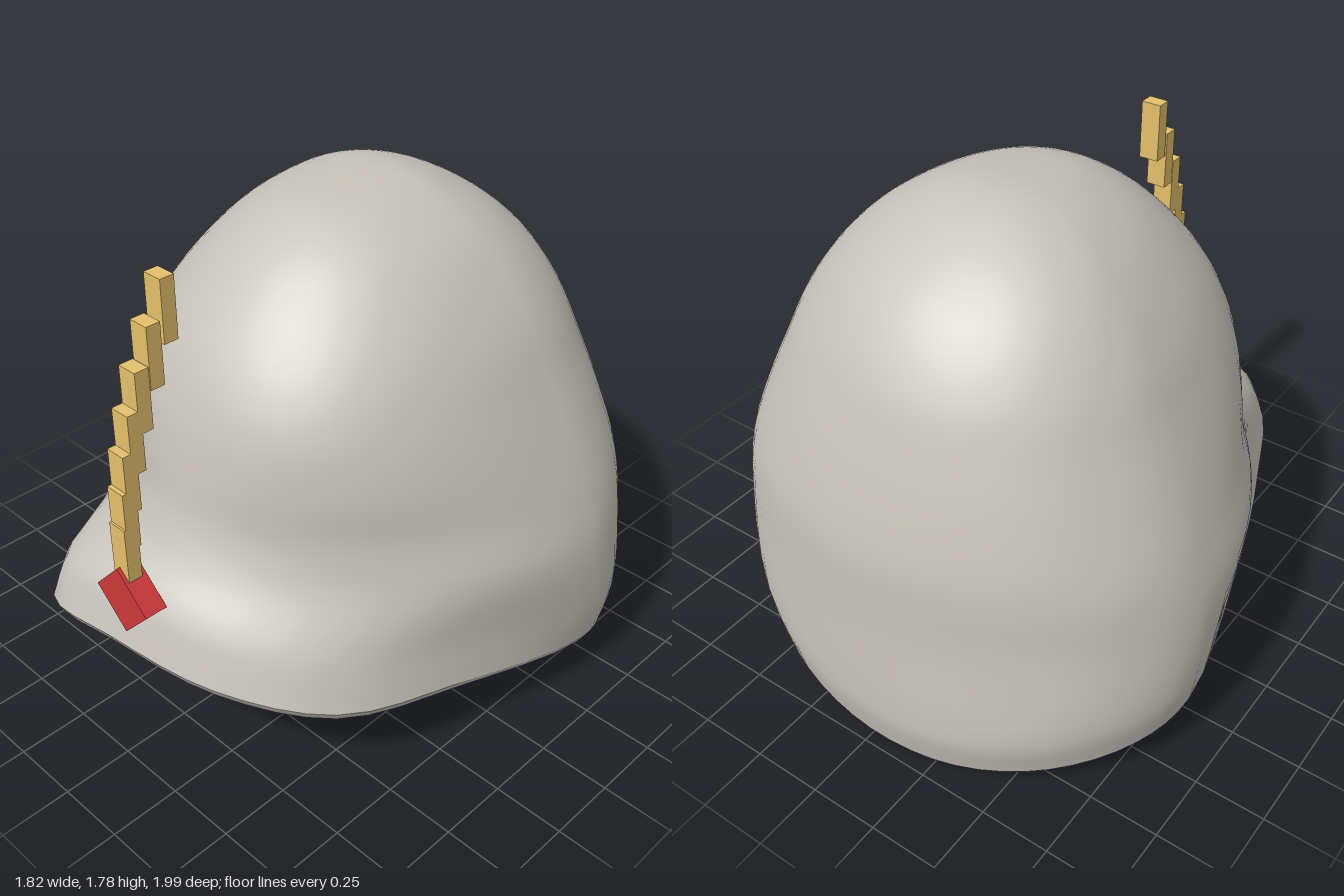
import * as THREE from 'three';
import { mergeVertices } from 'three/addons/utils/BufferGeometryUtils.js';

const SEG = 64;

// Lower edge as [x, y, z], from the front centre round by the model's left
const RIM = [
  [-0.06, 0.435, 0.975], [0.34, 0.395, 0.88], [0.64, 0.33, 0.64], [0.79, 0.26, 0.2],
  [0.905, 0.165, -0.37], [0.84, 0.125, -0.58], [0.64, 0.075, -0.79], [0.35, 0.03, -0.94],
  [0, 0, -1], [-0.35, 0.025, -0.97], [-0.64, 0.07, -0.83], [-0.84, 0.12, -0.6],
  [-0.905, 0.165, -0.37], [-0.78, 0.25, 0.14], [-0.605, 0.335, 0.61], [-0.41, 0.39, 0.955],
];

// Dome sections: [y at front, y at back, half width, front reach, back reach, fullness of the front corners]
const DOME = [
  [0.74, 0.56, 0.9, 0.8, 0.975, -0.05],
  [0.86, 0.8, 0.85, 0.735, 0.965, -0.03],
  [1.02, 1.02, 0.775, 0.7, 0.915, 0.015],
  [1.2, 1.2, 0.695, 0.655, 0.86, 0.04],
  [1.37, 1.37, 0.615, 0.57, 0.79, 0.04],
  [1.53, 1.53, 0.505, 0.44, 0.68, 0.03],
  [1.65, 1.65, 0.385, 0.3, 0.54, 0.02],
  [1.73, 1.74, 0.24, 0.15, 0.38, 0],
  [1.765, 1.775, 0.12, -0.04, 0.26, 0],
];

const rimCurve = new THREE.CatmullRomCurve3(RIM.map((p) => new THREE.Vector3(...p)), true);

// Point on the tilted brim: lift above the edge, scaled at front and back
function brimPoint(u, lift, front, back) {
  const p = rimCurve.getPoint(u);
  const s = THREE.MathUtils.lerp(back, front, THREE.MathUtils.smoothstep(p.z, -0.4, 0.8));
  return new THREE.Vector3(p.x * s, p.y + lift, p.z * s);
}

// Egg-shaped section point, widest towards the back
function domePoint(u, [yf, yb, w, f, b, full]) {
  const a = u * Math.PI * 2, c = Math.cos(a);
  const corner = c > 0 ? 1 + full * Math.sin(2 * a) ** 2 : 1;
  const zc = (f - b) / 2 - 0.25 * w;
  const z = zc + c * corner * (c > 0 ? f - zc : b + zc);
  return new THREE.Vector3(w * Math.sin(a) * corner, THREE.MathUtils.lerp(yb, yf, (z + b) / (f + b)), z);
}

// Smooth upright line from the edge to the crown
function outerColumn(u) {
  const points = [
    brimPoint(u, 0.03, 1, 0.97), brimPoint(u, 0.19, 0.935, 1),
    ...DOME.map((d) => domePoint(u, d)), new THREE.Vector3(0, 1.78, -0.17),
  ];
  return new THREE.CatmullRomCurve3(points).getPoints(44);
}

// Surface through closed rows of upright lines
function skin(columns, flip) {
  const rows = columns[0].length, index = [];
  for (let i = 0; i < columns.length; i++) {
    const j = (i + 1) % columns.length;
    for (let r = 0; r < rows - 1; r++) {
      const a = i * rows + r, b = j * rows + r;
      if (flip) index.push(a, a + 1, b, b, a + 1, b + 1);
      else index.push(a, b, a + 1, b, b + 1, a + 1);
    }
  }
  const g = new THREE.BufferGeometry().setFromPoints(columns.flat());
  g.setIndex(index);
  const merged = mergeVertices(g, 1e-5);
  merged.computeVertexNormals();
  return merged;
}

export function createModel() {
  const group = new THREE.Group();
  const mat = (name, color) => Object.assign(new THREE.MeshStandardMaterial({ color }), { name });
  const shellGrey = mat('shellGrey', 0xc6c2ba);
  const gold = mat('gold', 0xe4c06c);
  const red = mat('red', 0xcc383a);
  const add = (name, geometry, material) => {
    const mesh = new THREE.Mesh(geometry, material);
    mesh.name = name;
    group.add(mesh);
    return mesh;
  };

  // Helmet shell: outside, lining and the bevelled edge between them
  const outer = Array.from({ length: SEG }, (_, i) => outerColumn(i / SEG));
  const inner = outer.map((col) => col.map((p) =>
    new THREE.Vector3(p.x * 0.977, p.y - 0.02, (p.z + 0.12) * 0.977 - 0.12)));
  const edge = outer.map((col, i) => [
    inner[i][0], brimPoint(i / SEG, 0, 0.985, 0.95), col[0],
  ]);
  add('helmetShell', skin(outer, false), shellGrey);
  add('helmetLining', skin(inner, true), shellGrey);
  add('helmetEdge', skin(edge, false), shellGrey);

  // Stepped crest curving back from the badge
  const crest = new THREE.Group();
  crest.name = 'crest';
  [0.708, 0.77, 0.825, 0.865, 0.895, 0.91, 0.917].forEach((z, i) => {
    const block = new THREE.Mesh(new THREE.BoxGeometry(0.073, 0.212, 0.052), gold);
    block.name = 'crestBlock';
    block.position.set(-0.005, 1.595 - 0.13 * i, z);
    crest.add(block);
  });
  group.add(crest);

  // Diamond badge set into the brim
  const badge = add('badge', new THREE.BoxGeometry(0.182, 0.168, 0.082), red);
  badge.position.set(-0.003, 0.637, 0.915);
  badge.rotation.z = -0.76;

  return group;
}
